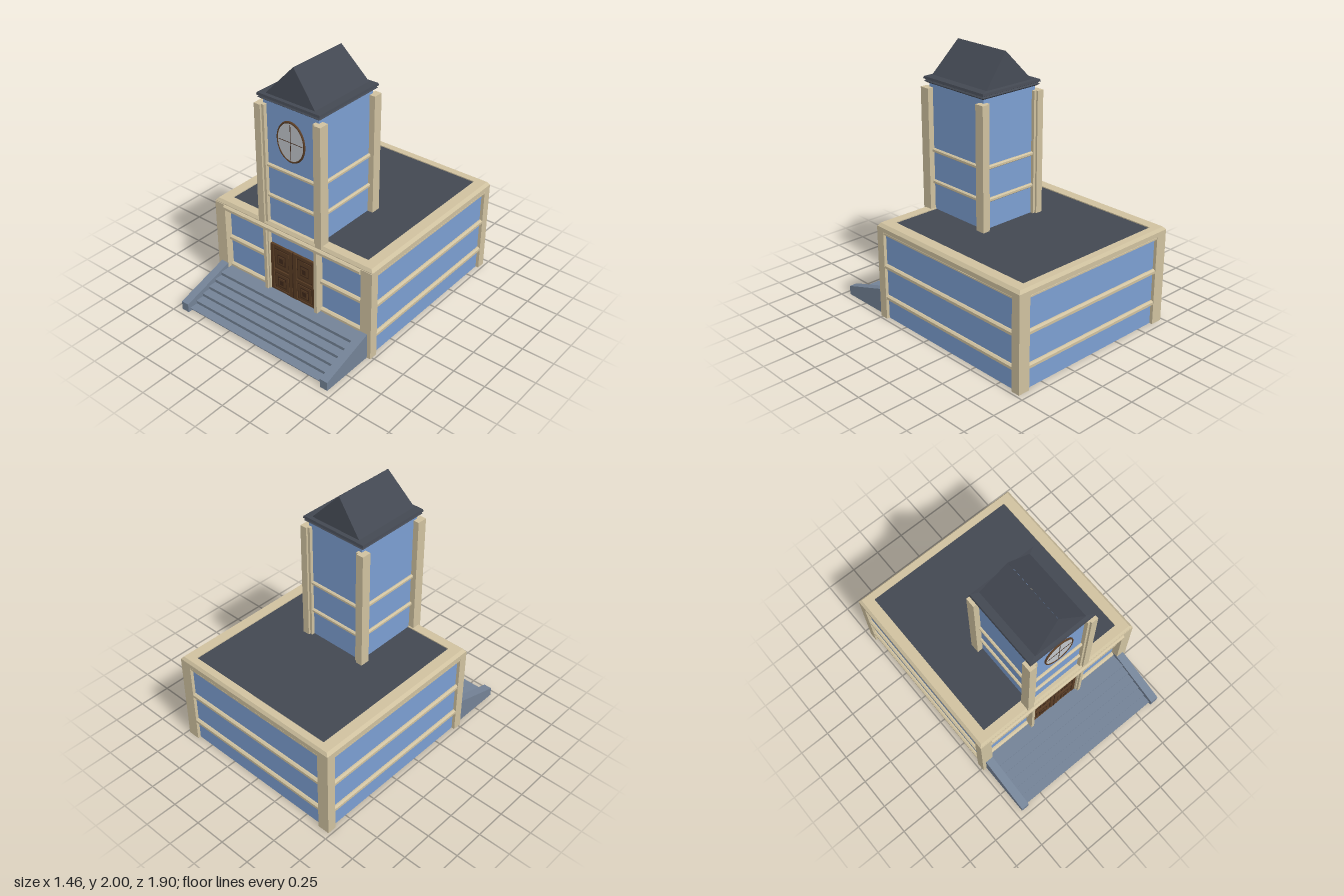
import * as THREE from 'three';

const mat = (name, color, side = THREE.FrontSide) => {
  const m = new THREE.MeshStandardMaterial({ color, side });
  m.name = name;
  return m;
};

export function createModel() {
  const blue = mat('blue wall', 0x7c9fd2);
  const beige = mat('beige trim', 0xd0c2a0);
  const slate = mat('dark slate', 0x434852, THREE.DoubleSide);
  const stone = mat('grey stone', 0x748397);
  const brown = mat('brown wood', 0x5a3d25);
  const darkBrown = mat('dark wood', 0x40291a);
  const white = mat('clock white', 0xc0c5cb);
  const root = new THREE.Group();

  const add = (name, geo, m, parent = root) => {
    const mesh = new THREE.Mesh(geo, m);
    mesh.name = name;
    parent.add(mesh);
    return mesh;
  };
  // Box given by its limits on each axis
  const box = (name, m, x0, x1, y0, y1, z0, z1) =>
    add(name, new THREE.BoxGeometry(x1 - x0, y1 - y0, z1 - z0), m)
      .position.set((x0 + x1) / 2, (y0 + y1) / 2, (z0 + z1) / 2);

  // Rectangular rings [halfWidth, y, zBack, zFront] joined from bottom to top
  const loft = (rings) => {
    const pos = [];
    const corners = ([x, y, z0, z1]) => [[-x, y, z1], [x, y, z1], [x, y, z0], [-x, y, z0]];
    for (let r = 0; r < rings.length - 1; r++) {
      const a = corners(rings[r]), b = corners(rings[r + 1]);
      for (let i = 0; i < 4; i++) {
        const j = (i + 1) % 4;
        pos.push(...a[i], ...a[j], ...b[j], ...a[i], ...b[j], ...b[i]);
      }
    }
    const g = new THREE.BufferGeometry();
    g.setAttribute('position', new THREE.Float32BufferAttribute(pos, 3));
    g.computeVertexNormals();
    return g;
  };

  // Bevelled moulding along a wall; angle turns its outer side from +x
  const moulding = (name, length, x, y, z, angle, h = 0.04, out = 0.025) => {
    const shape = new THREE.Shape([
      [-0.015, -h / 2], [out * 0.5, -h / 2], [out, -h / 4],
      [out, h / 4], [out * 0.5, h / 2], [-0.015, h / 2],
    ].map((p) => new THREE.Vector2(...p)));
    const g = new THREE.ExtrudeGeometry(shape, { depth: length, bevelEnabled: false });
    g.translate(0, 0, -length / 2);
    const mesh = add(name, g, beige);
    mesh.position.set(x, y, z);
    mesh.rotation.y = angle;
  };
  const FRONT = -Math.PI / 2, BACK = Math.PI / 2;

  // Hall walls, open underneath
  for (const s of [-1, 1]) {
    box('hallSideWall', blue, s * 0.7 - 0.005, s * 0.7 + 0.005, 0, 0.72, -0.92, 0.46);
    for (const [y, h] of [[0.172, 0.04], [0.425, 0.04], [0.69, 0.025]]) {
      moulding('hallSideMoulding', 1.33, s * 0.703, y, -0.215, s > 0 ? 0 : Math.PI, h);
    }
    for (const [z0, z1] of [[-0.95, -0.88], [0.45, 0.52]]) {
      box('hallCornerPost', beige, s > 0 ? 0.635 : -0.73, s > 0 ? 0.73 : -0.635, 0, 0.73, z0, z1);
    }
    moulding('hallFrontMoulding', 0.39, s * 0.44, 0.42, 0.46, FRONT);
    moulding('hallFrontMoulding', 0.39, s * 0.44, 0.172, 0.46, FRONT);
  }
  box('hallFrontWall', blue, -0.7, 0.7, 0, 0.72, 0.45, 0.46);
  box('hallBackWall', blue, -0.7, 0.7, 0, 0.72, -0.925, -0.915);
  for (const [y, h] of [[0.172, 0.04], [0.425, 0.04], [0.69, 0.025]]) {
    moulding('hallBackMoulding', 1.27, 0, y, -0.923, BACK, h);
  }
  moulding('hallFrontMoulding', 1.27, 0, 0.685, 0.48, FRONT, 0.025);

  // Parapet frame around the flat roof
  add('parapet', loft([
    [0.63, 0.7, -0.88, 0.43], [0.73, 0.7, -0.95, 0.515], [0.73, 0.735, -0.95, 0.515],
    [0.71, 0.758, -0.935, 0.5], [0.63, 0.758, -0.88, 0.43], [0.63, 0.7, -0.88, 0.43],
  ]), beige);
  moulding('frontCornice', 1.27, 0, 0.71, 0.512, FRONT, 0.04, 0.025);

  // Flat roof with an opening below the tower
  const deck = new THREE.Shape([[-0.65, -0.45], [0.65, -0.45], [0.65, 0.9], [-0.65, 0.9]]
    .map((p) => new THREE.Vector2(...p)));
  deck.holes.push(new THREE.Path([[-0.24, -0.45 + 0.01], [-0.24, 0.085], [0.24, 0.085], [0.24, -0.44]]
    .map((p) => new THREE.Vector2(...p))));
  add('flatRoof', new THREE.ShapeGeometry(deck).rotateX(-Math.PI / 2), slate).position.y = 0.75;

  // Tower shaft
  box('towerFrontWall', blue, -0.245, 0.245, 0.14, 1.72, 0.465, 0.475);
  box('towerBackWall', blue, -0.245, 0.245, 0.74, 1.72, -0.095, -0.085);
  for (const s of [-1, 1]) {
    box('towerSideWall', blue, s * 0.24 - 0.005, s * 0.24 + 0.005, 0.74, 1.72, -0.09, 0.47);
    for (const [z0, z1] of [[-0.135, -0.06], [0.44, 0.52]]) {
      box('towerPost', beige, s > 0 ? 0.235 : -0.29, s > 0 ? 0.29 : -0.235, 0.74, 1.685, z0, z1);
      const inner = z0 > 0 ? [0.45, 0.505] : [-0.12, -0.07];
      box('towerPostEdge', beige, s > 0 ? 0.215 : -0.235, s > 0 ? 0.235 : -0.215, 0.74, 1.685, ...inner);
    }
  }
  for (const y of [0.97, 1.215]) {
    moulding('towerMoulding', 0.43, 0, y, 0.475, FRONT, 0.03, 0.018);
    moulding('towerMoulding', 0.43, 0, y, -0.095, BACK, 0.03, 0.018);
    moulding('towerMoulding', 0.5, 0.245, y, 0.19, 0, 0.03, 0.018);
    moulding('towerMoulding', 0.5, -0.245, y, 0.19, Math.PI, 0.03, 0.018);
  }

  // Eave and steep hipped roof with a long ridge
  add('eave', loft([
    [0.24, 1.71, -0.085, 0.47], [0.255, 1.715, -0.1, 0.485], [0.272, 1.728, -0.117, 0.502],
    [0.262, 1.738, -0.107, 0.492], [0.277, 1.745, -0.122, 0.507], [0.272, 1.762, -0.117, 0.502],
    [0.2, 1.768, -0.08, 0.465],
  ]), slate);
  add('towerRoof', loft([[0.225, 1.755, -0.092, 0.48], [0.0005, 2, -0.055, 0.44]]), slate);

  // Oval clock
  const clock = new THREE.Group();
  clock.name = 'clock';
  clock.position.set(0, 1.462, 0.476);
  root.add(clock);
  const face = add('clockFace', new THREE.CylinderGeometry(1, 1, 0.008, 40).rotateX(Math.PI / 2), white, clock);
  face.scale.set(0.118, 0.15, 1);
  face.position.z = 0.003;
  const rim = add('clockRim', new THREE.TorusGeometry(1, 0.055, 8, 40), brown, clock);
  rim.scale.set(0.118, 0.149, 0.22);
  add('clockHand', new THREE.BoxGeometry(0.003, 0.27, 0.004), darkBrown, clock).position.z = 0.008;
  add('clockHand', new THREE.BoxGeometry(0.21, 0.003, 0.004), darkBrown, clock).position.z = 0.008;

  // Double door with nested square panels, between two pilasters
  for (const s of [-1, 1]) {
    const rect = (name, m, cx, cy, w, h, z0, z1) =>
      box(name, m, s * cx - w / 2, s * cx + w / 2, cy - h / 2, cy + h / 2, z0, z1);
    rect('doorPilaster', beige, 0.236, 0.43, 0.026, 0.54, 0.46, 0.525);
    rect('doorPilasterEdge', beige, 0.219, 0.43, 0.012, 0.54, 0.46, 0.508);
    rect('doorLeaf', brown, 0.106, 0.363, 0.208, 0.406, 0.47, 0.485);
    rect('doorStile', brown, 0.02, 0.363, 0.03, 0.406, 0.485, 0.495);
    rect('doorStile', brown, 0.196, 0.363, 0.026, 0.406, 0.485, 0.495);
    for (const y of [0.552, 0.338, 0.168]) rect('doorRail', brown, 0.106, y, 0.15, 0.026, 0.485, 0.493);
    for (const [y, h] of [[0.448, 0.17], [0.25, 0.14]]) {
      rect('doorPanelGroove', darkBrown, 0.108, y, 0.142, h, 0.483, 0.487);
      rect('doorPanel', brown, 0.108, y, 0.125, h - 0.016, 0.483, 0.491);
      rect('doorPanelInset', darkBrown, 0.108, y, 0.078, 0.088, 0.488, 0.493);
      rect('doorPanelBoss', brown, 0.108, y, 0.06, 0.068, 0.488, 0.497);
      rect('doorPanelCentre', darkBrown, 0.108, y, 0.035, 0.04, 0.494, 0.499);
    }
  }
  box('doorGap', darkBrown, -0.003, 0.003, 0.165, 0.565, 0.475, 0.496);

  // Stairs, open underneath: thin treads and risers
  for (let i = 0; i < 6; i++) {
    const y = 0.165 - i * 0.027, z = 0.535 + i * 0.067;
    box('tread', stone, -0.636, 0.636, y - 0.006, y, i ? z - 0.004 : 0.455, z + 0.067);
    if (i < 5) box('riser', stone, -0.636, 0.636, y - 0.027, y - 0.005, z + 0.058, z + 0.064);
  }
  // Sloping walls beside the stairs
  const cheek = new THREE.Shape([[0.46, 0], [0.955, 0], [0.955, 0.07], [0.52, 0.207], [0.46, 0.207]]
    .map(([z, y]) => new THREE.Vector2(-z, y)));
  for (const x of [-0.7, 0.635]) {
    const g = new THREE.ExtrudeGeometry(cheek, { depth: 0.065, bevelEnabled: false });
    add('stairSideWall', g.rotateY(Math.PI / 2), stone).position.x = x;
  }
  return root;
}
